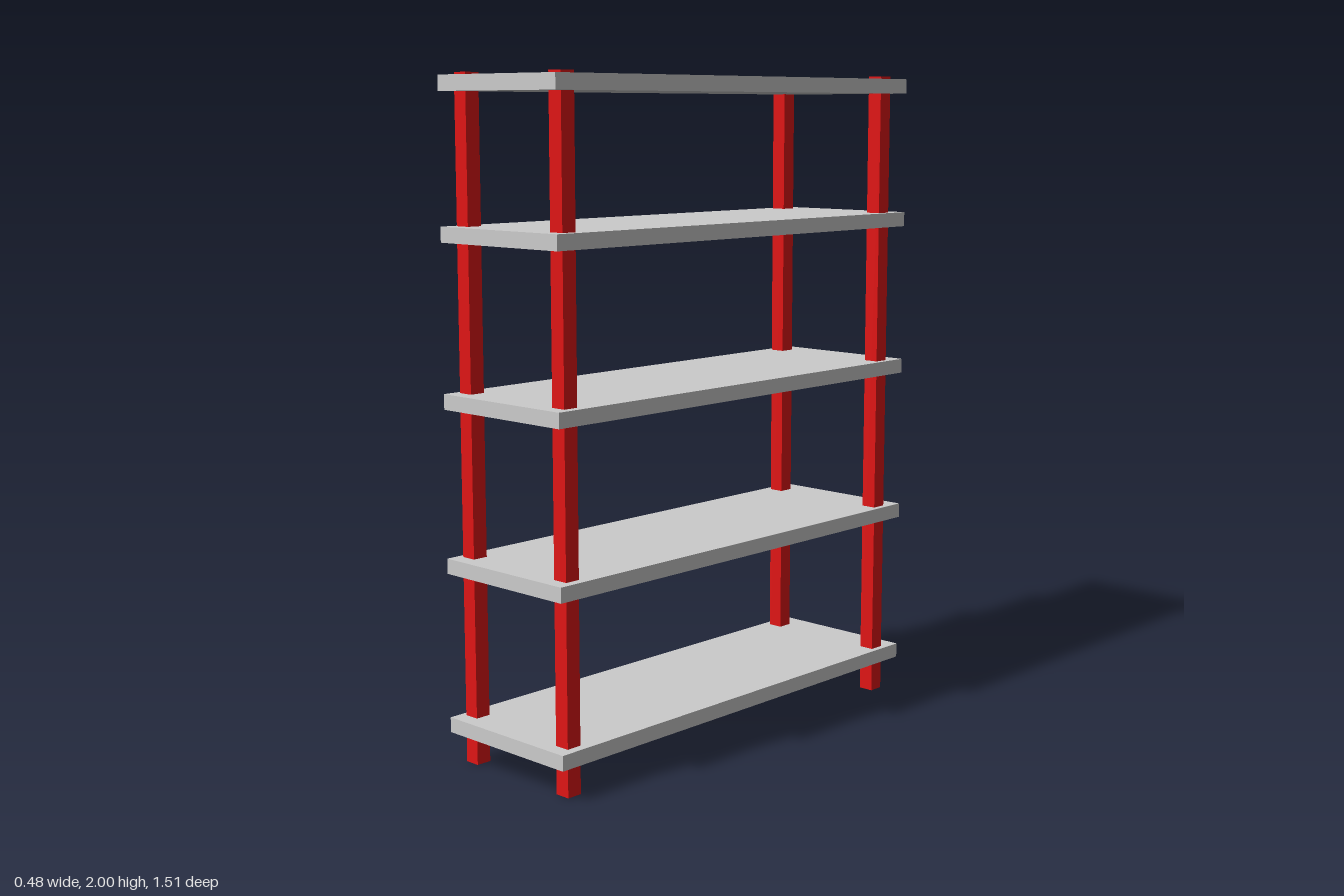
import * as THREE from 'three';

export function createModel() {
  const model = new THREE.Group();
  const grey = new THREE.MeshStandardMaterial({ color: 0xcccccc });
  const red = new THREE.MeshStandardMaterial({ color: 0xe01515 });

  const addBox = (name, size, position, material) => {
    const mesh = new THREE.Mesh(new THREE.BoxGeometry(...size), material);
    mesh.name = name;
    mesh.position.set(...position);
    model.add(mesh);
  };

  // Five boards, from the bottom up
  [0.119, 0.595, 1.075, 1.55, 1.97].forEach((y, i) =>
    addBox(`shelf${i + 1}`, [0.482, 0.045, 1.51], [0, y, 0], grey));

  // Four square posts, set slightly unevenly, passing through every board
  const posts = {
    frontLeftPost: [0.19, 0.687],
    frontRightPost: [-0.2, 0.686],
    backLeftPost: [0.198, -0.671],
    backRightPost: [-0.196, -0.667],
  };
  for (const [name, [x, z]] of Object.entries(posts)) {
    addBox(name, [0.048, 2, 0.048], [x, 1, z], red);
  }

  return model;
}
